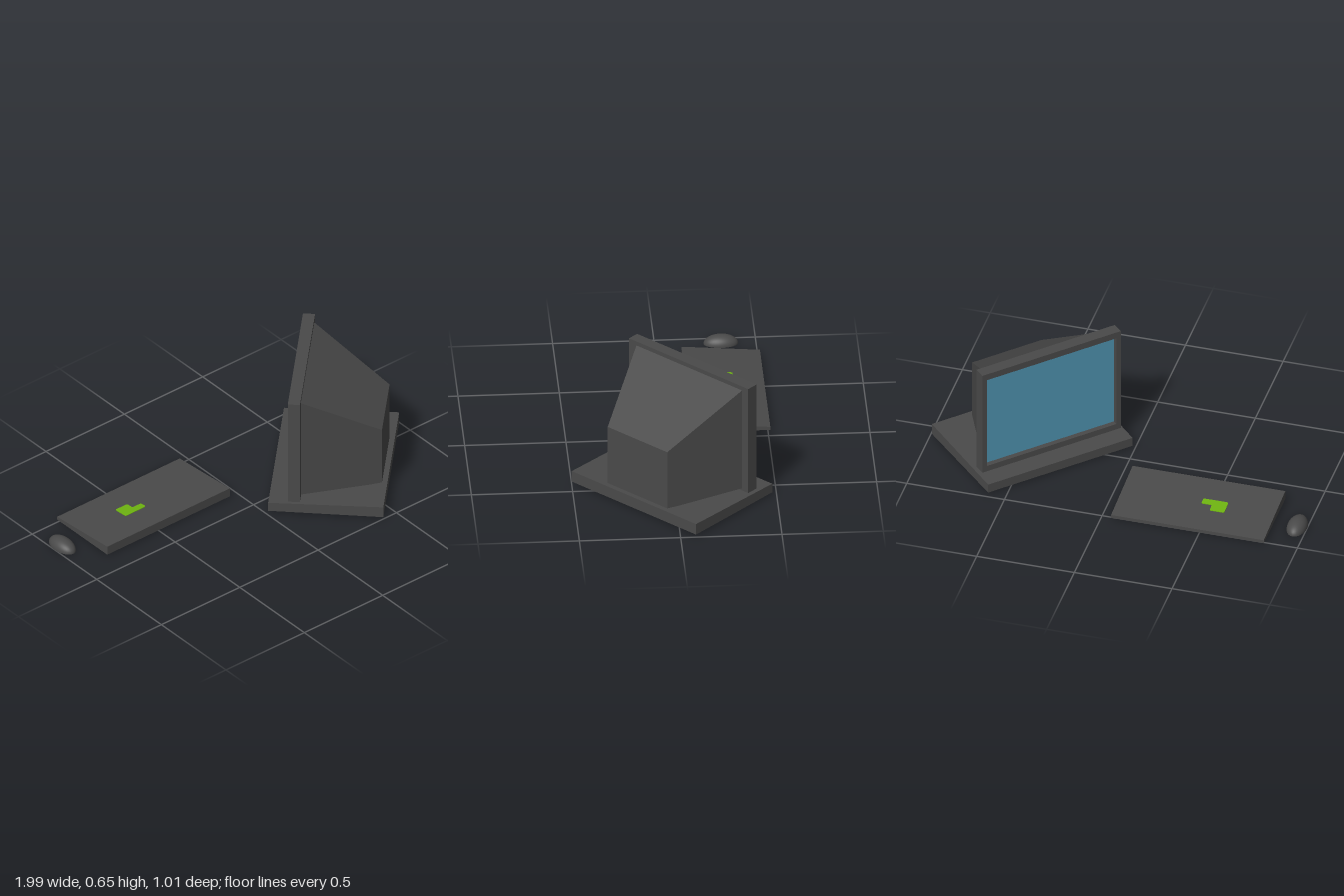
import * as THREE from 'three';

const plastic = new THREE.MeshStandardMaterial({ color: 0x4a4a4a });
plastic.name = 'charcoal plastic';
const glass = new THREE.MeshStandardMaterial({ color: 0x5094b2 });
glass.name = 'blue screen';
const green = new THREE.MeshStandardMaterial({ color: 0x6eb410 });
green.name = 'green patch';

function part(parent, name, geometry, material) {
  const mesh = new THREE.Mesh(geometry, material);
  mesh.name = name;
  parent.add(mesh);
  return mesh;
}

// Box whose two z ends each have their own half width, bottom and top
function taperedBox(near, far) {
  const g = new THREE.BoxGeometry(2, 1, 1);
  const p = g.attributes.position;
  for (let i = 0; i < p.count; i++) {
    const end = p.getZ(i) < 0 ? near : far;
    p.setXYZ(i, Math.sign(p.getX(i)) * end.half, p.getY(i) < 0 ? end.bottom : end.top, end.z);
  }
  g.computeVertexNormals();
  return g;
}

function rectangle(path, x0, y0, x1, y1) {
  path.moveTo(x0, y0);
  path.lineTo(x1, y0);
  path.lineTo(x1, y1);
  path.lineTo(x0, y1);
  path.closePath();
  return path;
}

// Monitor: the screen faces local -z, then the whole is turned 45 degrees
function makeMonitor() {
  const monitor = new THREE.Group();
  monitor.name = 'monitor';
  monitor.position.set(0.503, 0, 0.01);
  monitor.rotation.y = Math.PI / 4;

  part(monitor, 'base', taperedBox(
    { half: 0.407, bottom: 0.01, top: 0.058, z: -0.285 },
    { half: 0.407, bottom: 0.01, top: 0.069, z: 0.285 }), plastic);

  // Bezel ring with a recessed panel
  const outline = rectangle(new THREE.Shape(), -0.39, 0.063, 0.39, 0.649);
  outline.holes.push(rectangle(new THREE.Path(), -0.365, 0.095, 0.365, 0.614));
  const ring = new THREE.ExtrudeGeometry(outline, { depth: 0.03, bevelEnabled: false });
  part(monitor, 'bezel', ring, plastic).position.set(-0.004, 0, -0.189);
  part(monitor, 'bezelBack', new THREE.BoxGeometry(0.78, 0.586, 0.03), plastic)
    .position.set(-0.004, 0.356, -0.144);
  part(monitor, 'screen', new THREE.BoxGeometry(0.73, 0.519, 0.004), glass)
    .position.set(-0.004, 0.3545, -0.161);

  part(monitor, 'rearHousing', taperedBox(
    { half: 0.346, bottom: 0.075, top: 0.627, z: -0.13 },
    { half: 0.195, bottom: 0.066, top: 0.385, z: 0.258 }), plastic);
  return monitor;
}

// Wedge keyboard, rising towards +z, with a green patch on top
function makeKeyboard() {
  const keyboard = new THREE.Group();
  keyboard.name = 'keyboard';
  keyboard.position.set(-0.44, 0, -0.318);
  part(keyboard, 'keyboardBody', taperedBox(
    { half: 0.391, bottom: 0.005, top: 0.022, z: -0.194 },
    { half: 0.391, bottom: 0.005, top: 0.053, z: 0.194 }), plastic);

  const corners = [[-0.145, -0.038], [-0.016, -0.038], [-0.016, 0], [-0.07, 0], [-0.07, 0.042], [-0.145, 0.042]]
    .map(([x, y]) => new THREE.Vector2(x, y));
  const shape = new THREE.Shape();
  corners.forEach((c, i) => {
    const before = corners[(i + 5) % 6], after = corners[(i + 1) % 6];
    const a = c.clone().add(before.clone().sub(c).setLength(0.009));
    const b = c.clone().add(after.clone().sub(c).setLength(0.009));
    if (i === 0) shape.moveTo(a.x, a.y);
    else shape.lineTo(a.x, a.y);
    shape.quadraticCurveTo(c.x, c.y, b.x, b.y);
  });
  shape.closePath();
  const patch = part(keyboard, 'greenPatch',
    new THREE.ExtrudeGeometry(shape, { depth: 0.004, bevelEnabled: false, curveSegments: 4 }), green);
  patch.position.y = 0.0365;
  patch.rotation.x = -Math.PI / 2 + Math.atan2(0.031, 0.388) * -1;
  return keyboard;
}

// Mouse: half an ellipsoid with a flat underside
function makeMouse() {
  const mouse = new THREE.Group();
  mouse.name = 'mouse';
  mouse.position.set(-0.95, 0, -0.327);
  mouse.scale.set(0.05, 0.047, 0.086);
  part(mouse, 'mouseShell', new THREE.SphereGeometry(1, 32, 12, 0, Math.PI * 2, 0, Math.PI / 2), plastic);
  part(mouse, 'mouseUnderside', new THREE.CircleGeometry(1, 32), plastic).rotation.x = Math.PI / 2;
  return mouse;
}

export function createModel() {
  const model = new THREE.Group();
  model.name = 'desktopSet';
  model.add(makeMonitor(), makeKeyboard(), makeMouse());
  // Patch tilt follows the slope of the keyboard top
  model.getObjectByName('greenPatch').rotation.x = -Math.PI / 2 + Math.atan2(0.031, 0.388) * -1;
  return model;
}
